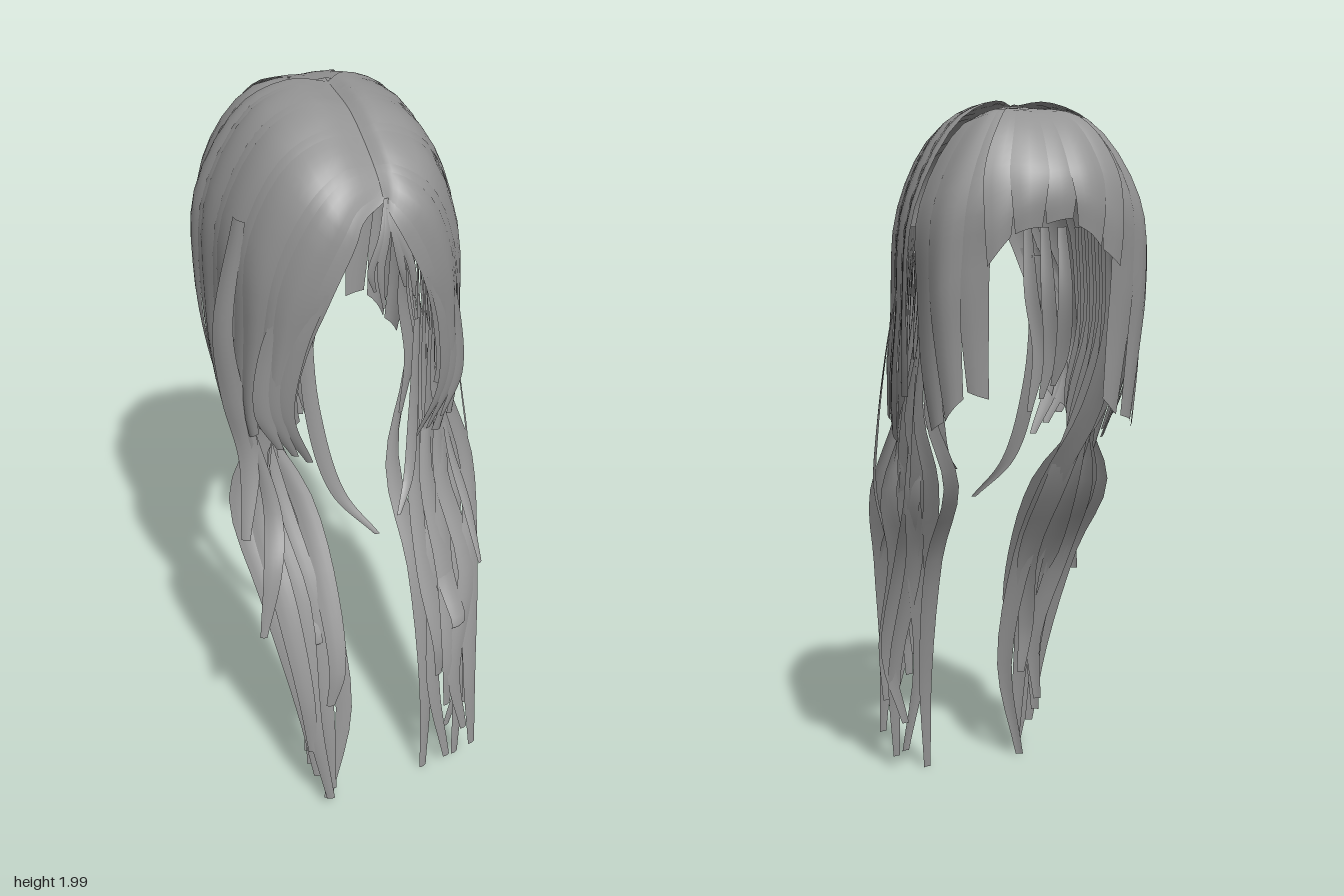
import * as THREE from 'three';

const V = (x, y, z) => new THREE.Vector3(x, y, z);
const hair = new THREE.MeshStandardMaterial({ color: 0x949494, side: THREE.DoubleSide });
hair.name = 'hair grey';

// small seeded generator
let seed = 11;
const rnd = (a, b) => {
  seed = (seed * 16807) % 2147483647;
  return a + (b - a) * (seed / 2147483647);
};

// grid surface from a point function of (u, v)
function sheet(name, fn, nu, nv, flip) {
  const pos = [], idx = [];
  for (let j = 0; j <= nv; j++)
    for (let i = 0; i <= nu; i++) pos.push(...fn(i / nu, j / nv).toArray());
  for (let j = 0; j < nv; j++)
    for (let i = 0; i < nu; i++) {
      const a = j * (nu + 1) + i, b = a + 1, c = a + nu + 1, d = c + 1;
      idx.push(...(flip ? [a, b, c, b, d, c] : [a, c, b, b, c, d]));
    }
  const g = new THREE.BufferGeometry();
  g.setAttribute('position', new THREE.Float32BufferAttribute(pos, 3));
  g.setIndex(idx);
  g.computeVertexNormals();
  const m = new THREE.Mesh(g, hair);
  m.name = name;
  return m;
}

// locks cut side by side from a surface lofted through guide curves;
// every guide starts on the off-centre parting, so its first x is not mirrored
function locks(name, guides, s, count, minLen, overlap) {
  const group = new THREE.Group();
  group.name = name;
  const curves = guides.map(g => new THREE.CatmullRomCurve3(g.map((p, i) => V(i ? p[0] * s : p[0], p[1], p[2]))));
  for (let k = 0; k < count; k++) {
    const u0 = Math.max(0, (k - overlap) / count), u1 = Math.min(1, (k + 1 + overlap) / count);
    const len = rnd(minLen, 1), skew = rnd(-0.03, 0.03), lift = (k % 2) * 0.006;
    group.add(sheet('lock', (u, v) => {
      const t = Math.min(1, Math.max(0, v * (len + skew * (u - 0.5) * 2)));
      const narrow = 1 - 0.35 * Math.max(0, v - 0.6) / 0.4;
      const w = (u0 + u1) / 2 + (u - 0.5) * (u1 - u0) * narrow;
      const p = new THREE.CatmullRomCurve3(curves.map(c => c.getPoint(t))).getPoint(w);
      const out = V(p.x, 0, p.z + 0.1).normalize();
      return p.addScaledVector(out, (lift + 0.006 * Math.sin(Math.PI * u)) * Math.min(1, v * 3));
    }, 4, 20, s < 0));
  }
  return group;
}

// gently bowed strand along a path; its face turns from angle a0 (sideways) to a1 (forward)
function ribbon(name, pts, width, a0, a1, s = 1) {
  const curve = new THREE.CatmullRomCurve3(pts.map(p => V(p[0] * s, p[1], p[2])));
  return sheet(name, (u, v) => {
    const a = a0 + (a1 - a0) * Math.min(1, v * 1.4);
    const w = width * (0.75 + 0.5 * Math.sin(Math.PI * v)) * (1 - 0.45 * v ** 5);
    const across = (u - 0.5) * w, out = 0.1 * w * Math.sin(Math.PI * u);
    return curve.getPoint(v).add(V(s * (Math.sin(a) * across + Math.cos(a) * out), 0,
      -Math.cos(a) * across + Math.sin(a) * out));
  }, 4, 24, s < 0);
}

// guide curves from the parting down, front to back
const sideGuides = [
  [[0.025, 1.82, 0.225], [0.035, 1.79, 0.25], [0.06, 1.74, 0.265], [0.12, 1.61, 0.262], [0.165, 1.45, 0.225], [0.185, 1.3, 0.2], [0.15, 1.15, 0.18]],
  [[0.025, 1.865, 0.185], [0.06, 1.865, 0.205], [0.13, 1.81, 0.225], [0.205, 1.65, 0.205], [0.24, 1.45, 0.18], [0.255, 1.25, 0.155], [0.21, 1.06, 0.14]],
  [[0.025, 1.92, 0.1], [0.065, 1.935, 0.11], [0.17, 1.885, 0.12], [0.262, 1.7, 0.105], [0.285, 1.45, 0.1], [0.295, 1.22, 0.095], [0.265, 1.03, 0.12]],
  [[0.025, 1.965, 0], [0.065, 1.985, 0], [0.18, 1.93, 0], [0.29, 1.72, -0.02], [0.31, 1.45, -0.03], [0.315, 1.25, 0.01], [0.29, 1.02, 0.09]],
  [[0.025, 1.98, -0.1], [0.065, 1.998, -0.105], [0.18, 1.945, -0.12], [0.3, 1.72, -0.14], [0.32, 1.45, -0.13], [0.32, 1.26, -0.08], [0.29, 1.05, 0.02]],
  [[0.025, 1.985, -0.15], [0.065, 1.998, -0.165], [0.18, 1.94, -0.2], [0.305, 1.72, -0.23], [0.325, 1.5, -0.22], [0.31, 1.33, -0.18], [0.28, 1.13, -0.07]],
];
const backSideGuides = [
  [[0.025, 1.98, -0.13], [0.165, 1.935, -0.17], [0.292, 1.72, -0.2], [0.3, 1.5, -0.21], [0.3, 1.3, -0.23], [0.28, 1.12, -0.25]],
  [[0.025, 1.985, -0.15], [0.13, 1.95, -0.27], [0.245, 1.75, -0.34], [0.265, 1.55, -0.34], [0.25, 1.38, -0.33], [0.23, 1.18, -0.32]],
  [[0.025, 1.985, -0.15], [0.09, 1.95, -0.3], [0.15, 1.78, -0.41], [0.16, 1.6, -0.39], [0.15, 1.4, -0.37], [0.14, 1.22, -0.36]],
];
const backGuides = [0.19, 0.065, -0.065, -0.19].map(x => {
  const outer = Math.abs(x) > 0.1, d = outer ? 0.035 : 0;
  return [[0.025, 1.985, -0.15], [x * 0.55, 1.95, -0.31], [x * 0.9, 1.83, -0.42 + d],
    [x, outer ? 1.69 : 1.75, -0.445 + d], [x, outer ? 1.54 : 1.66, -0.44 + d]];
});

export function createModel() {
  seed = 11;
  const model = new THREE.Group();
  model.name = 'longHair';

  for (const [s, side] of [[1, 'left'], [-1, 'right']]) {
    model.add(locks(side + 'SideLocks', sideGuides, s, 10, 0.86, 0.3));
    model.add(locks(side + 'BackLocks', backSideGuides, s, 3, 0.92, 0.15));

    // long wavy strands sweeping forward from under the cap
    const strands = new THREE.Group();
    strands.name = side + 'LongStrands';
    const ends = [0.01, 0.06, 0.2, 0.12, 0.3, 0.05, 0.24, 0.38, 0.56, 0.16];
    ends.forEach((end, k) => {
      const f = (k * 3 % 10) / 4.5 - 1, g = rnd(-1, 1), wave = () => rnd(-0.03, 0.03);
      strands.add(ribbon('strand', [
        [0.245, 1.68, -0.05 + 0.11 * f],
        [0.26, 1.42, -0.055 + 0.1 * f],
        [0.255 + 0.025 * g, 1.18, 0.01 + 0.08 * f],
        [0.225 + 0.075 * f + wave(), 0.95, 0.11 + 0.045 * g],
        [0.215 + 0.08 * f + wave(), 0.7, 0.265 + 0.035 * g],
        [0.2 + 0.07 * f + wave(), 0.32 + end * 0.45, 0.37 + 0.045 * g - end * 0.05],
        [0.2 + 0.04 * f + wave(), end, 0.405 + 0.045 * g - end * 0.12],
      ], 0.056, 0.15, 1.3, s));
    });
    model.add(strands);

    // curls hanging beside the face, and thinner ones further in
    const curls = new THREE.Group();
    curls.name = side + 'FaceCurls';
    for (let k = 0; k < 3; k++) {
      curls.add(ribbon('curl', [[0.14 + k * 0.03, 1.62, 0.25 - k * 0.02], [0.2 + k * 0.025, 1.45, 0.215 - k * 0.02],
        [0.22 + k * 0.025, 1.25, 0.185 - k * 0.01], [0.15 + k * 0.04, 1.08 + k * 0.03, 0.17]], 0.045, 0.8, 1.1, s));
      curls.add(ribbon('innerCurl', [[0.12 + k * 0.03, 1.68, 0.14 - k * 0.06], [0.125 + k * 0.03, 1.5, 0.12 - k * 0.06],
        [0.15 + k * 0.02, 1.32, 0.12 - k * 0.04], [0.125 + k * 0.025, 1.15 + k * 0.04, 0.13 - k * 0.03]], 0.035, 0.9, 1.2, s));
    }
    model.add(curls);
  }

  model.add(locks('backLocks', backGuides, 1, 5, 0.9, 0.15));

  // wisps over the forehead
  const bangs = new THREE.Group();
  bangs.name = 'foreheadWisps';
  for (const [x, y] of [[-0.02, 1.6], [0.005, 1.55], [0.06, 1.6], [0.085, 1.57]])
    bangs.add(ribbon('wisp', [[0.03, 1.83, 0.225], [0.03 + (x - 0.03) * 0.4, 1.75, 0.255], [x, 1.66, 0.26], [x + 0.015, y, 0.25]], 0.018, 1.4, 1.57));
  model.add(bangs);

  // loose strands away from the mass
  const loose = new THREE.Group();
  loose.name = 'looseStrands';
  loose.add(
    ribbon('outerLeft', [[0.31, 1.6, -0.12], [0.345, 1.38, -0.08], [0.355, 1.12, 0.02], [0.34, 0.95, 0.12], [0.29, 0.78, 0.2]], 0.03, 0.1, 0.5),
    ribbon('outerRight', [[0.28, 1.75, 0.05], [0.335, 1.45, 0.05], [0.32, 1.25, 0.07], [0.295, 1.08, 0.1], [0.335, 0.87, 0.17]], 0.06, 0.4, 1, -1),
    ribbon('lowerRight', [[0.28, 1.15, 0.08], [0.26, 0.95, 0.18], [0.29, 0.82, 0.26], [0.335, 0.63, 0.3]], 0.045, 0.6, 1.2, -1),
    ribbon('forwardLeft', [[0.29, 1.2, 0.0], [0.28, 1.0, 0.12], [0.28, 0.88, 0.25], [0.27, 0.77, 0.37]], 0.035, 0.5, 1),
    ribbon('innerRight', [[0.14, 1.6, 0.12], [0.14, 1.25, 0.16], [0.09, 1.0, 0.22], [0.0, 0.88, 0.28]], 0.035, 1.1, 1.4, -1),
    ribbon('innerLeft', [[0.15, 1.45, 0.16], [0.135, 1.18, 0.19], [0.1, 1.02, 0.25], [0.045, 0.96, 0.32]], 0.03, 1.1, 1.4),
  );
  model.add(loose);
  return model;
}
